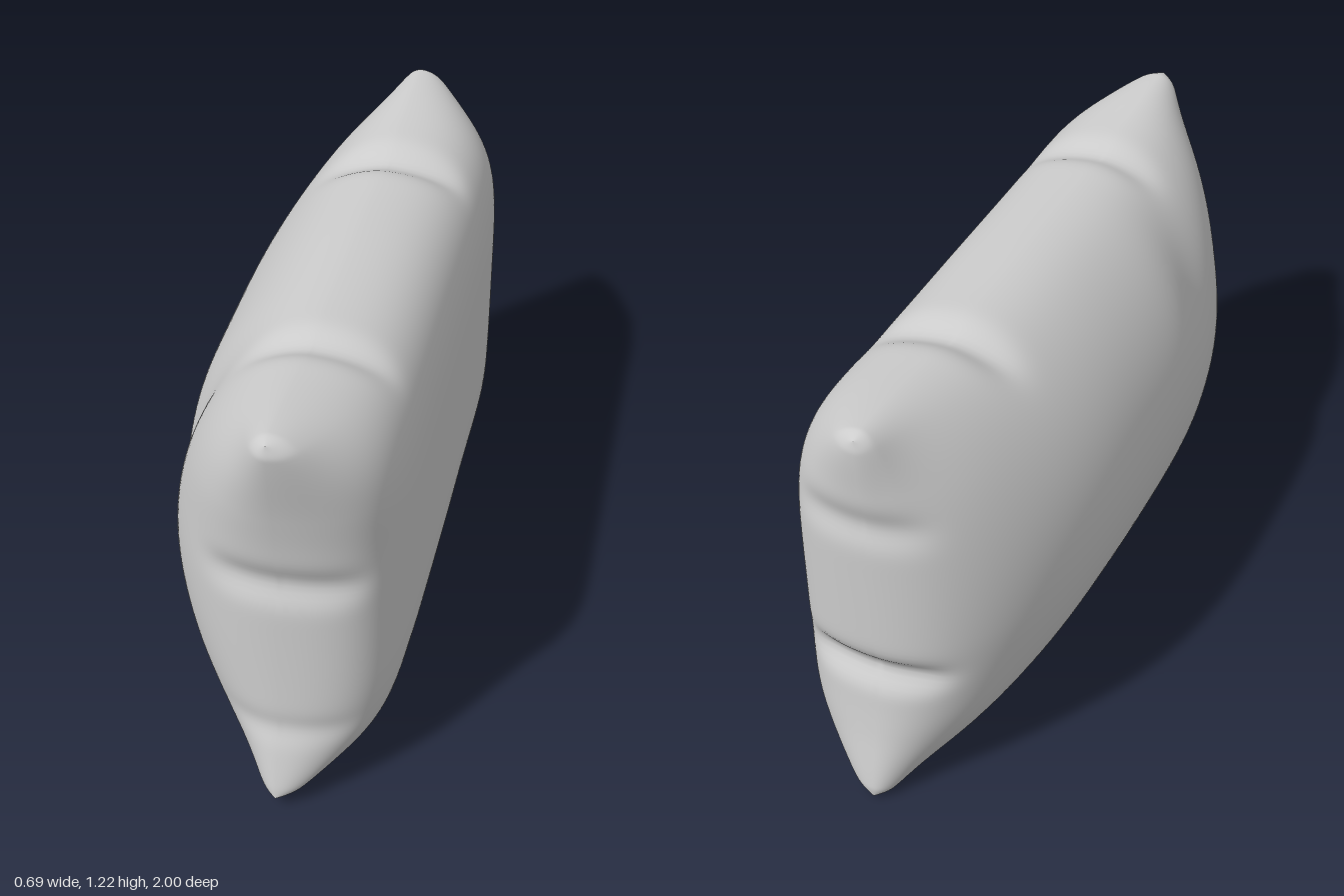
import * as THREE from 'three';
import { mergeVertices } from 'three/addons/utils/BufferGeometryUtils.js';

// Seam edges as [position along the edge, offset].
const topEdge = [[-0.965, 1.205], [-0.93, 1.22], [-0.56, 1.19], [-0.35, 1.182], [0, 1.185],
  [0.42, 1.187], [0.61, 1.192], [0.95, 1.22], [0.99, 1.21]];
const bottomEdge = [[-0.995, 0.015], [-0.95, 0.004], [-0.6, 0.03], [-0.3, 0.045], [0, 0.038],
  [0.43, 0.045], [0.61, 0.058], [0.94, 0.036], [0.975, 0.045]];
const frontEdge = [[0.045, 0.975], [0.08, 0.97], [0.24, 0.93], [0.34, 0.92], [0.64, 0.914],
  [0.8, 0.918], [0.95, 0.945], [1.17, 0.997], [1.21, 0.99]];
const backEdge = [[0.015, -0.995], [0.05, -0.998], [0.22, -0.965], [0.37, -0.947], [0.55, -0.95],
  [0.8, -0.955], [1.03, -0.962], [1.17, -0.972], [1.205, -0.965]];

// Short puckers that pull the seam inwards: [position along the edge, pull, width].
const puckers = {
  top: [[-0.45, 0.035, 0.06], [0.52, 0.027, 0.055]],
  bottom: [[0.52, 0.03, 0.055], [-0.32, 0.008, 0.06]],
  front: [[0.72, 0.024, 0.05], [0.25, 0.01, 0.04]],
  back: [[0.43, 0.04, 0.045], [0.93, 0.018, 0.05]],
};
const gauss = t => Math.exp(-t * t);
const pull = (list, p) => list.reduce((sum, [at, amount, width]) => sum + amount * gauss((p - at) / width), 0);

// Smooth interpolation of an edge; t runs 0..1, returns [position, offset].
function sample(edge, t) {
  const last = edge.length - 1;
  const p = THREE.MathUtils.lerp(edge[0][0], edge[last][0], t);
  let i = 0;
  while (i < last - 1 && p > edge[i + 1][0]) i++;
  const slope = k => {
    const a = edge[Math.max(k - 1, 0)], b = edge[Math.min(k + 1, last)];
    return (b[1] - a[1]) / (b[0] - a[0]);
  };
  const [x0, y0] = edge[i], [x1, y1] = edge[i + 1], h = x1 - x0, s = (p - x0) / h;
  const s2 = s * s, s3 = s2 * s;
  return [p, y0 * (2 * s3 - 3 * s2 + 1) + y1 * (3 * s2 - 2 * s3)
    + h * (slope(i) * (s3 - 2 * s2 + s) + slope(i + 1) * (s3 - s2))];
}

// Blend the four edges into a filled outline (Coons patch), returns [z, y].
function outline(a, b) {
  const top = sample(topEdge, a), bottom = sample(bottomEdge, a);
  const [fy, fz] = sample(frontEdge, b), [by, bz] = sample(backEdge, b);
  const mix = THREE.MathUtils.lerp;
  const corner = k => mix(
    mix(bottomEdge[0][k], bottomEdge[bottomEdge.length - 1][k], a),
    mix(topEdge[0][k], topEdge[topEdge.length - 1][k], a), b);
  const z = mix(bottom[0], top[0], b) + mix(bz, fz, a) - corner(0);
  const y = mix(bottom[1], top[1], b) + mix(by, fy, a) - corner(1);
  // puckers fade out quickly away from the seam
  return [
    z - pull(puckers.front, y) * gauss((1 - a) / 0.03) + pull(puckers.back, y) * gauss(a / 0.03),
    y - pull(puckers.top, z) * gauss((1 - b) / 0.06) + pull(puckers.bottom, z) * gauss(b / 0.06),
  ];
}

const bulge = (t, power, root) => Math.pow(Math.max(0, 1 - Math.pow(Math.abs(t), power)), root);

// Flatter panel on the left, fuller dome on the right, slim wedges at the corners.
function depth(side, u, v, z, y) {
  const fromCorner = 0.98 * (1 - Math.abs(u)) + 0.6 * (1 - Math.abs(v));
  const wedge = 1 - 0.42 * gauss(fromCorner / 0.22);
  const rim = 0.035 * bulge(u, 40, 0.5) * bulge(v, 30, 0.5);
  if (side > 0) return rim + 0.25 * wedge * bulge(u, 9, 0.45) * bulge(v, 5, 0.55);
  // broad soft fold running down the dome
  const fold = 1 - 0.09 * gauss((z - 0.45) / 0.13) * gauss((y - 0.95) / 0.3);
  return -rim - 0.37 * wedge * fold * bulge(u, 3.2, 0.52) * bulge(v, 2, 0.65);
}

function cushionGeometry(nu = 150, nv = 110) {
  const positions = [], index = [];
  for (const side of [1, -1]) {
    const start = positions.length / 3;
    for (let j = 0; j <= nv; j++) {
      for (let i = 0; i <= nu; i++) {
        // rows crowd towards the seam, where the surface turns
        const u = Math.sin((i / nu - 0.5) * Math.PI), v = Math.sin((j / nv - 0.5) * Math.PI);
        const [z, y] = outline((u + 1) / 2, (v + 1) / 2);
        const onSeam = i === 0 || j === 0 || i === nu || j === nv;
        positions.push(0.06 + (onSeam ? 0 : depth(side, u, v, z, y)), y, z);
        if (i === nu || j === nv) continue;
        const a = start + j * (nu + 1) + i, b = a + 1, c = a + nu + 1, d = c + 1;
        if (side > 0) index.push(a, c, b, b, c, d);
        else index.push(a, b, c, b, d, c);
      }
    }
  }
  const geometry = new THREE.BufferGeometry();
  geometry.setAttribute('position', new THREE.Float32BufferAttribute(positions, 3));
  geometry.setIndex(index);
  const welded = mergeVertices(geometry, 1e-5);
  welded.computeVertexNormals();
  return welded;
}

export function createModel() {
  const model = new THREE.Group();
  model.name = 'pillow';
  const cushion = new THREE.Mesh(cushionGeometry(),
    new THREE.MeshStandardMaterial({ color: 0xcccccc }));
  cushion.name = 'cushion';
  model.add(cushion);
  return model;
}
